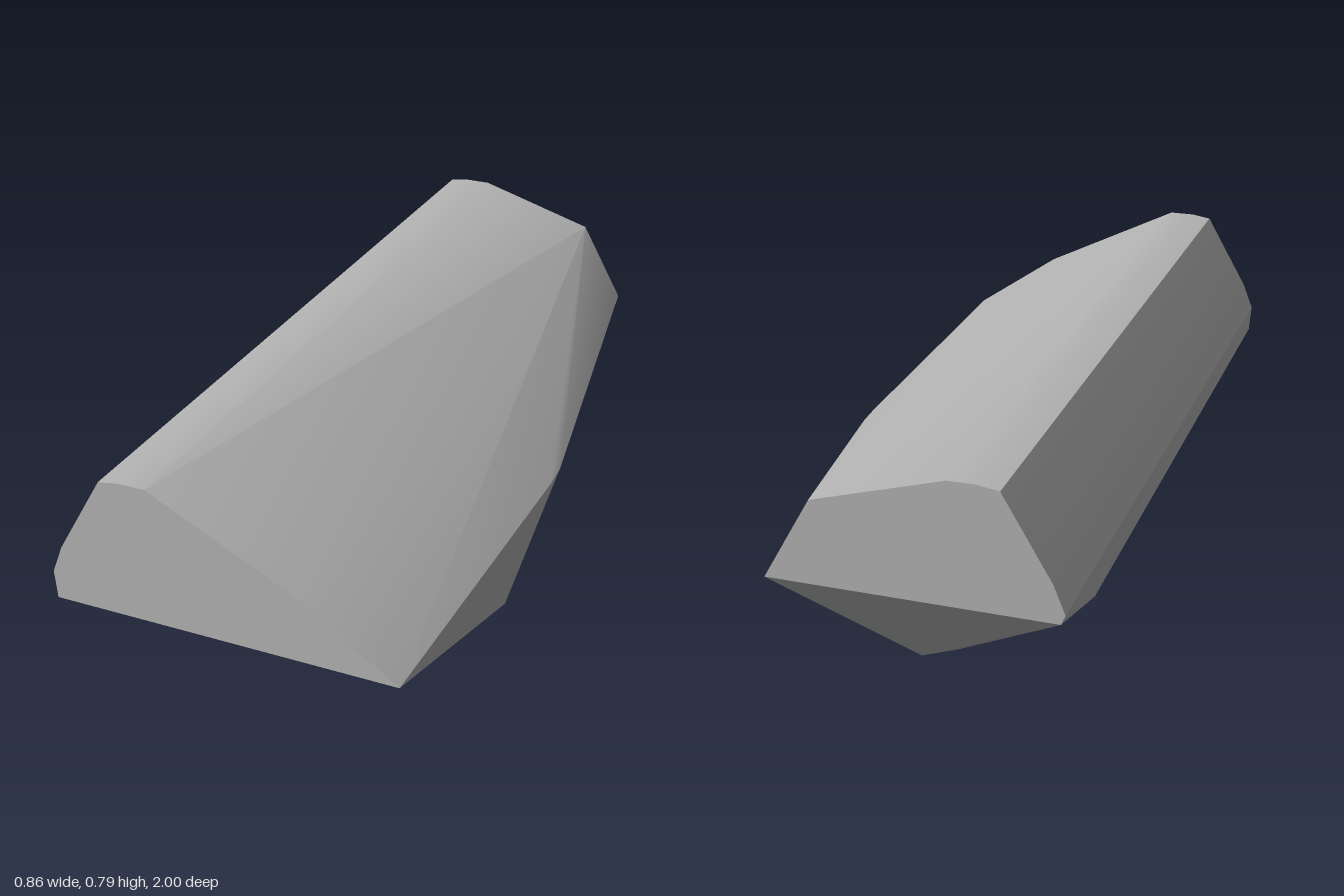
import * as THREE from 'three';
import { toCreasedNormals } from 'three/addons/utils/BufferGeometryUtils.js';
import { ConvexGeometry } from 'three/addons/geometries/ConvexGeometry.js';

const stoneGrey = new THREE.MeshStandardMaterial({ color: 0xb4b4b4 });
stoneGrey.name = 'stone grey';

export function createModel() {
  const group = new THREE.Group();
  group.name = 'facetedBlock';

  // upper ridge and right flank, the same at both ends
  const ridge = [
    [-0.43, 0.51], [-0.402, 0.58], [-0.287, 0.777], [-0.235, 0.785], [-0.17, 0.785],
  ];
  // front end: the left flank slopes down to a sharp lower edge
  const front = [...ridge, [-0.425, 0.44], [0.2, 0.6], [0.43, 0.44]];
  // back end: narrower, with a cut-off left flank
  const back = [...ridge, [-0.42, 0.487], [0.145, 0.694], [0.26, 0.49]];
  // left edge where the cut begins, and the keel underneath
  const keel = [
    [0.43, 0.44, 0.06], [0.426, 0.441, -0.02],
    [0.295, 0, 0], [0.29, 0.002, -0.03],
    [-0.017, 0.21, -0.77], [-0.1, 0.235, -0.76],
    [-0.35, 0.37, -0.69], [-0.425, 0.425, -0.75],
  ];

  const points = [
    ...front.map(([x, y]) => new THREE.Vector3(x, y, 1)),
    ...back.map(([x, y]) => new THREE.Vector3(x, y, -1)),
    ...keel.map((p) => new THREE.Vector3(...p)),
  ];

  // gentle bends are smooth, the main edges stay sharp
  const body = new THREE.Mesh(toCreasedNormals(new ConvexGeometry(points), 0.42), stoneGrey);
  body.name = 'body';
  group.add(body);
  return group;
}
